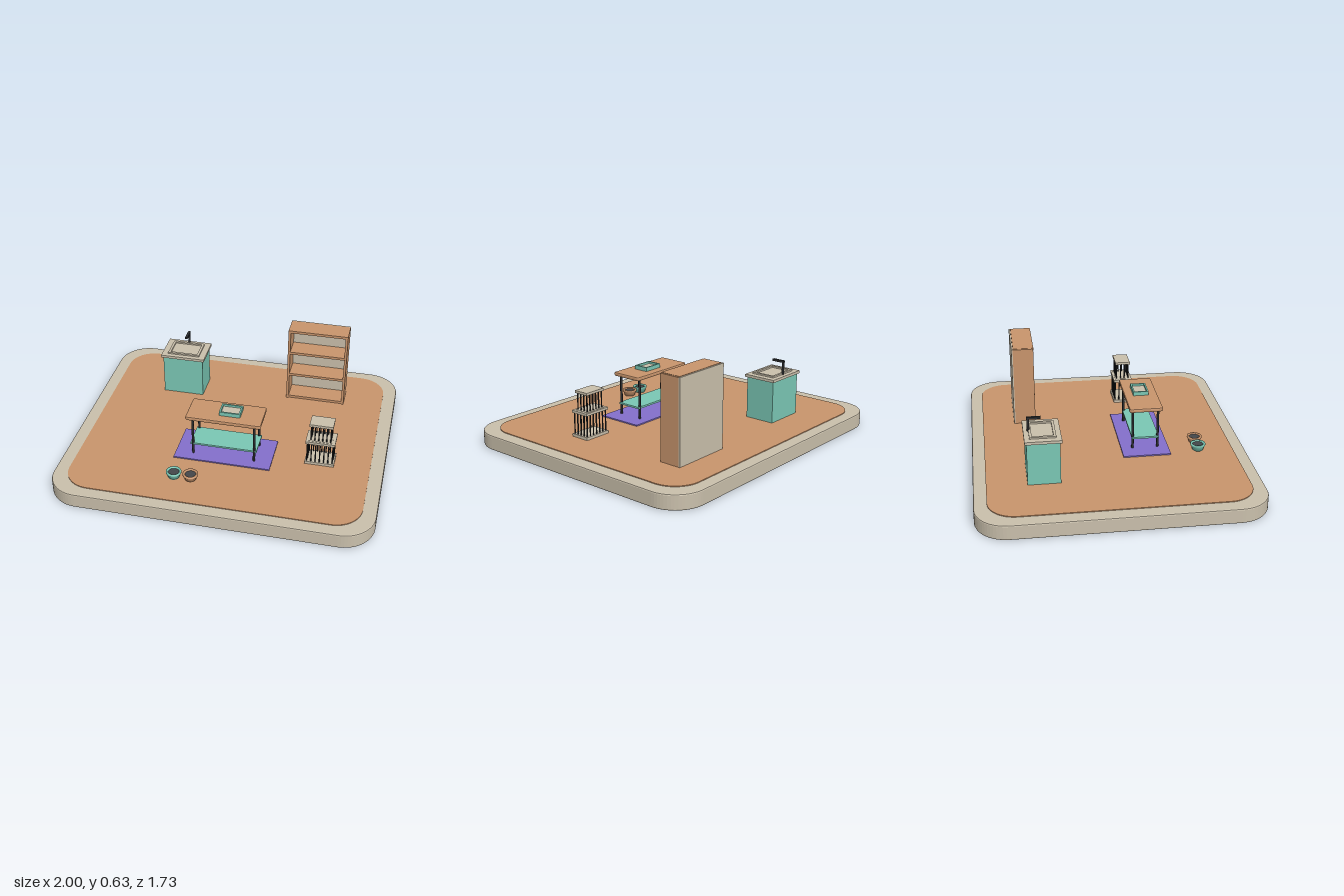
import * as THREE from 'three';

const mat = (name, color) => Object.assign(new THREE.MeshStandardMaterial({ color }), { name });

export function createModel() {
  const wood = mat('wood', 0xc9956c);
  const stone = mat('stone', 0xcac0ac);
  const teal = mat('teal', 0x7bc8b5);
  const purple = mat('purple', 0x8470cc);
  const metal = mat('dark metal', 0x2a2c2e);
  const food = mat('dark filling', 0x44474a);

  const root = new THREE.Group();
  root.name = 'petRoom';

  const group = (name, x = 0, y = 0, z = 0, parent = root) => {
    const g = new THREE.Group();
    g.name = name;
    g.position.set(x, y, z);
    parent.add(g);
    return g;
  };
  const add = (parent, name, geometry, material, x = 0, y = 0, z = 0) => {
    const m = new THREE.Mesh(geometry, material);
    m.name = name;
    m.position.set(x, y, z);
    parent.add(m);
    return m;
  };
  // Box given by its size, centre x/z and bottom y
  const box = (parent, name, material, w, h, d, x, y, z) =>
    add(parent, name, new THREE.BoxGeometry(w, h, d), material, x, y + h / 2, z);
  // Upright rod from y0 to y1
  const rod = (parent, name, r, y0, y1, x, z) =>
    add(parent, name, new THREE.CylinderGeometry(r, r, y1 - y0, 8), metal, x, (y0 + y1) / 2, z);

  const roundedRect = (w, d, r) => {
    const s = new THREE.Shape();
    const x = w / 2, y = d / 2;
    s.moveTo(-x + r, -y);
    s.lineTo(x - r, -y);
    s.absarc(x - r, -y + r, r, -Math.PI / 2, 0);
    s.lineTo(x, y - r);
    s.absarc(x - r, y - r, r, 0, Math.PI / 2);
    s.lineTo(-x + r, y);
    s.absarc(-x + r, y - r, r, Math.PI / 2, Math.PI);
    s.lineTo(-x, -y + r);
    s.absarc(-x + r, -y + r, r, Math.PI, Math.PI * 1.5);
    return s;
  };
  // Flat slab with rounded corners and bevelled edges, bottom at y = 0
  const slab = (w, h, d, r, bevel) => {
    const g = new THREE.ExtrudeGeometry(roundedRect(w - 2 * bevel, d - 2 * bevel, r - bevel), {
      depth: h - 2 * bevel, bevelEnabled: bevel > 0, bevelSize: bevel,
      bevelThickness: bevel, bevelSegments: 2, curveSegments: 8,
    });
    return g.rotateX(-Math.PI / 2).translate(0, bevel, 0);
  };
  // Rectangular rim, bottom at y = 0
  const frame = (w, d, t, h) => {
    const s = new THREE.Shape();
    const rect = (p, a, b) => p.moveTo(-a, -b).lineTo(a, -b).lineTo(a, b).lineTo(-a, b).closePath();
    rect(s, w / 2, d / 2);
    const hole = new THREE.Path();
    rect(hole, w / 2 - t, d / 2 - t);
    s.holes.push(hole);
    return new THREE.ExtrudeGeometry(s, { depth: h, bevelEnabled: false }).rotateX(-Math.PI / 2);
  };

  // Platform and floor
  add(root, 'platform', slab(2, 0.095, 1.725, 0.2, 0.008), stone);
  add(root, 'floor', slab(1.83, 0.008, 1.57, 0.17, 0), wood, 0, 0.092, 0);

  // Wash stand
  const sink = group('washStand', -0.437, 0.1, -0.438);
  box(sink, 'cabinet', teal, 0.272, 0.272, 0.2, 0, 0, 0);
  box(sink, 'counter', stone, 0.297, 0.018, 0.222, 0, 0.272, 0);
  add(sink, 'basinRim', frame(0.215, 0.16, 0.016, 0.012), stone, 0, 0.288, 0);
  const spout = new THREE.CurvePath();
  const p = [[0, 0.288, -0.08], [0, 0.378, -0.08], [0, 0.378, -0.004]].map(v => new THREE.Vector3(...v));
  spout.add(new THREE.LineCurve3(p[0], p[1]));
  spout.add(new THREE.LineCurve3(p[1], p[2]));
  rod(sink, 'tapPost', 0.008, 0.288, 0.383, 0, -0.08);
  box(sink, 'tapSpout', metal, 0.016, 0.014, 0.085, 0, 0.369, -0.046);

  // Bookcase
  const shelf = group('bookcase', 0.463, 0.1, -0.503);
  for (const s of [-1, 1]) box(shelf, 'sidePanel', wood, 0.016, 0.53, 0.134, s * 0.189, 0, 0.002);
  box(shelf, 'backPanel', stone, 0.394, 0.53, 0.01, 0, 0, -0.069);
  for (const y of [0.006, 0.184, 0.352, 0.515]) {
    box(shelf, 'shelfBoard', wood, 0.37, 0.017, 0.134, 0, y, 0.004);
  }

  // Rug
  box(root, 'rug', purple, 0.615, 0.008, 0.302, -0.002, 0.1, 0.23);

  // Table with lower shelf and tray
  const table = group('table', -0.001, 0.1, 0.232);
  add(table, 'tableTop', slab(0.476, 0.026, 0.212, 0.014, 0.008), wood, 0, 0.27, 0);
  for (const x of [-0.196, 0.196]) {
    for (const z of [-0.08, 0.08]) rod(table, 'tableLeg', 0.008, 0.006, 0.272, x, z);
  }
  box(table, 'lowerShelf', teal, 0.425, 0.012, 0.172, 0, 0.076, 0);
  const tray = group('tray', 0.031, 0.296, -0.003, table);
  add(tray, 'trayWalls', frame(0.134, 0.098, 0.01, 0.026), teal);
  box(tray, 'trayFilling', stone, 0.116, 0.012, 0.08, 0, 0, 0);

  // Stacked cages
  const cage = (name, y, w, d, h, nx, nz) => {
    const g = group(name, 0.598, y, 0.196);
    box(g, 'cageBase', stone, w, 0.018, d, 0, 0, 0);
    box(g, 'cageRoof', stone, w, 0.016, d, 0, h - 0.016, 0);
    const ix = w / 2 - 0.012, iz = d / 2 - 0.01;
    for (const s of [-1, 1]) {
      for (let i = 0; i < nx; i++) rod(g, 'cageBar', 0.004, 0.016, h - 0.014, ix * (2 * i / (nx - 1) - 1), s * iz);
      for (let i = 1; i < nz - 1; i++) rod(g, 'cageBar', 0.004, 0.016, h - 0.014, s * ix, iz * (2 * i / (nz - 1) - 1));
    }
  };
  cage('lowerCage', 0.1, 0.184, 0.126, 0.17, 7, 5);
  cage('upperCage', 0.254, 0.147, 0.1, 0.14, 6, 4);

  // Feeding bowls
  const profile = [[0, 0], [0.034, 0], [0.041, 0.022], [0.048, 0.032], [0.048, 0.042], [0.035, 0.042], [0.033, 0.03]]
    .map(([x, y]) => new THREE.Vector2(x, y));
  for (const [x, material] of [[-0.256, teal], [-0.15, wood]]) {
    const bowl = group('bowl', x, 0.1, 0.563);
    add(bowl, 'bowlBody', new THREE.LatheGeometry(profile, 20), material);
    add(bowl, 'bowlFilling', new THREE.CylinderGeometry(0.035, 0.035, 0.004, 20), food, 0, 0.034, 0);
  }

  return root;
}
